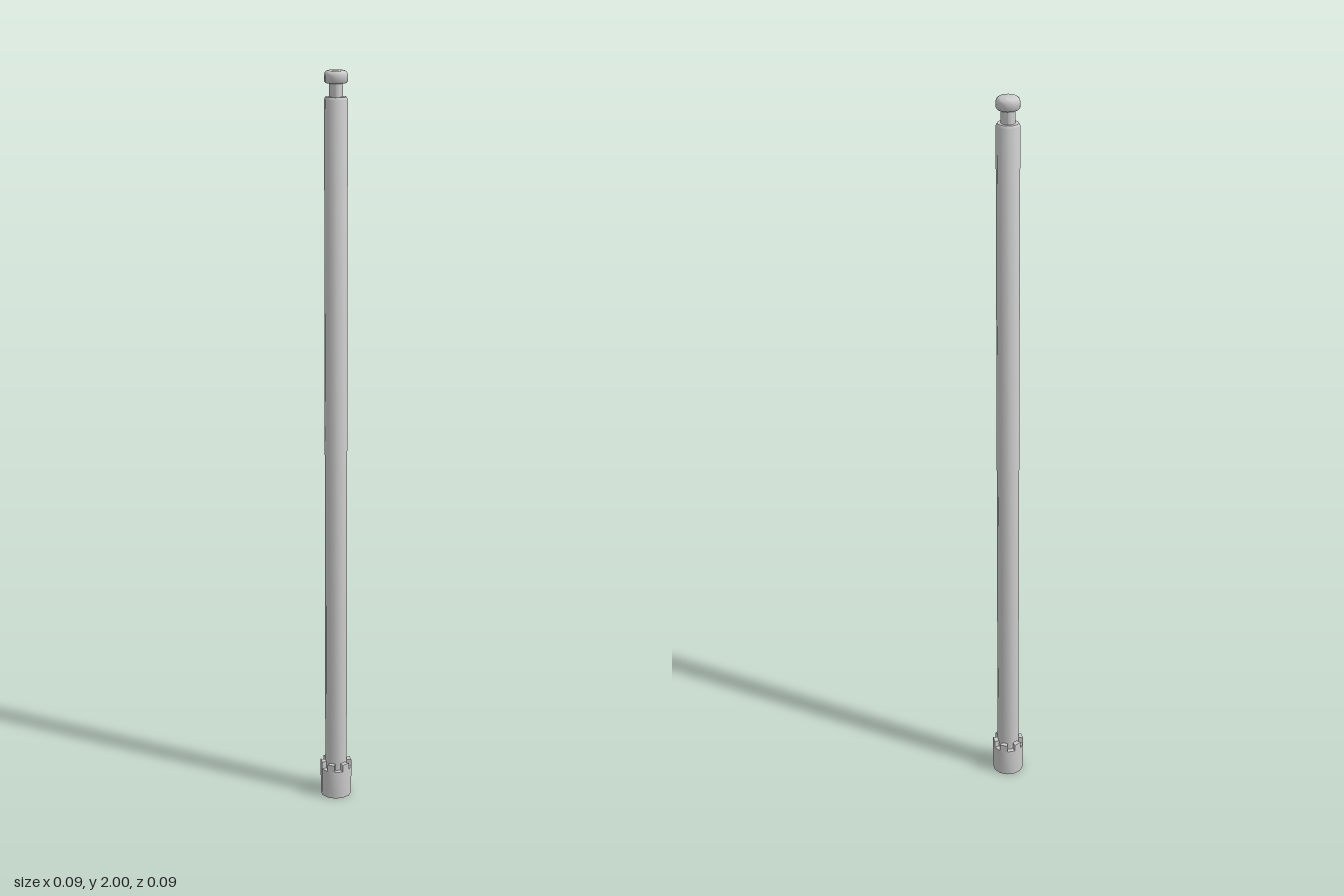
import * as THREE from 'three';
import { toCreasedNormals } from 'three/addons/utils/BufferGeometryUtils.js';

const SIDES = 12;
const material = new THREE.MeshStandardMaterial({ color: 0xcccccc });

// Turned part from [radius, height] pairs, listed bottom to top
function turned(name, profile, crease = 0.65) {
  const points = profile.map(([r, y]) => new THREE.Vector2(r, y));
  const geometry = toCreasedNormals(new THREE.LatheGeometry(points, SIDES), crease);
  const mesh = new THREE.Mesh(geometry, material);
  mesh.name = name;
  return mesh;
}

// One upright tooth covering a single side of the collar
function collarTooth(start, inner, outer, bottom, height) {
  const end = start + (Math.PI * 2) / SIDES;
  const at = (r, a) => new THREE.Vector2(r * Math.cos(a), r * Math.sin(a));
  const shape = new THREE.Shape([at(inner, start), at(outer, start), at(outer, end), at(inner, end)]);
  const geometry = new THREE.ExtrudeGeometry(shape, { depth: height, bevelEnabled: false });
  geometry.rotateX(-Math.PI / 2).translate(0, bottom, 0);
  const mesh = new THREE.Mesh(geometry, material);
  mesh.name = 'collarTooth';
  return mesh;
}

export function createModel() {
  const model = new THREE.Group();
  model.name = 'pole';

  // Long shaft with a slightly eased top rim
  model.add(turned('shaft', [[0.03, 0.07], [0.03, 1.928], [0.027, 1.934], [0, 1.934]]));

  // Narrow neck and rounded cap
  model.add(turned('neck', [[0.018, 1.93], [0.018, 1.972]]));
  model.add(turned('cap', [
    [0, 1.968], [0.026, 1.968], [0.03, 1.972], [0.03, 1.988],
    [0.028, 1.995], [0.023, 1.999], [0, 2],
  ], 0.9));

  // Base collar, with teeth on every other side
  const collar = new THREE.Group();
  collar.name = 'baseCollar';
  collar.add(turned('collarBody', [[0, 0], [0.043, 0], [0.043, 0.08], [0.029, 0.08]]));
  for (let i = 0; i < SIDES / 2; i++) {
    collar.add(collarTooth(Math.PI / 6 + (i * Math.PI) / 3, 0.029, 0.043, 0.08, 0.02));
  }
  model.add(collar);

  return model;
}
